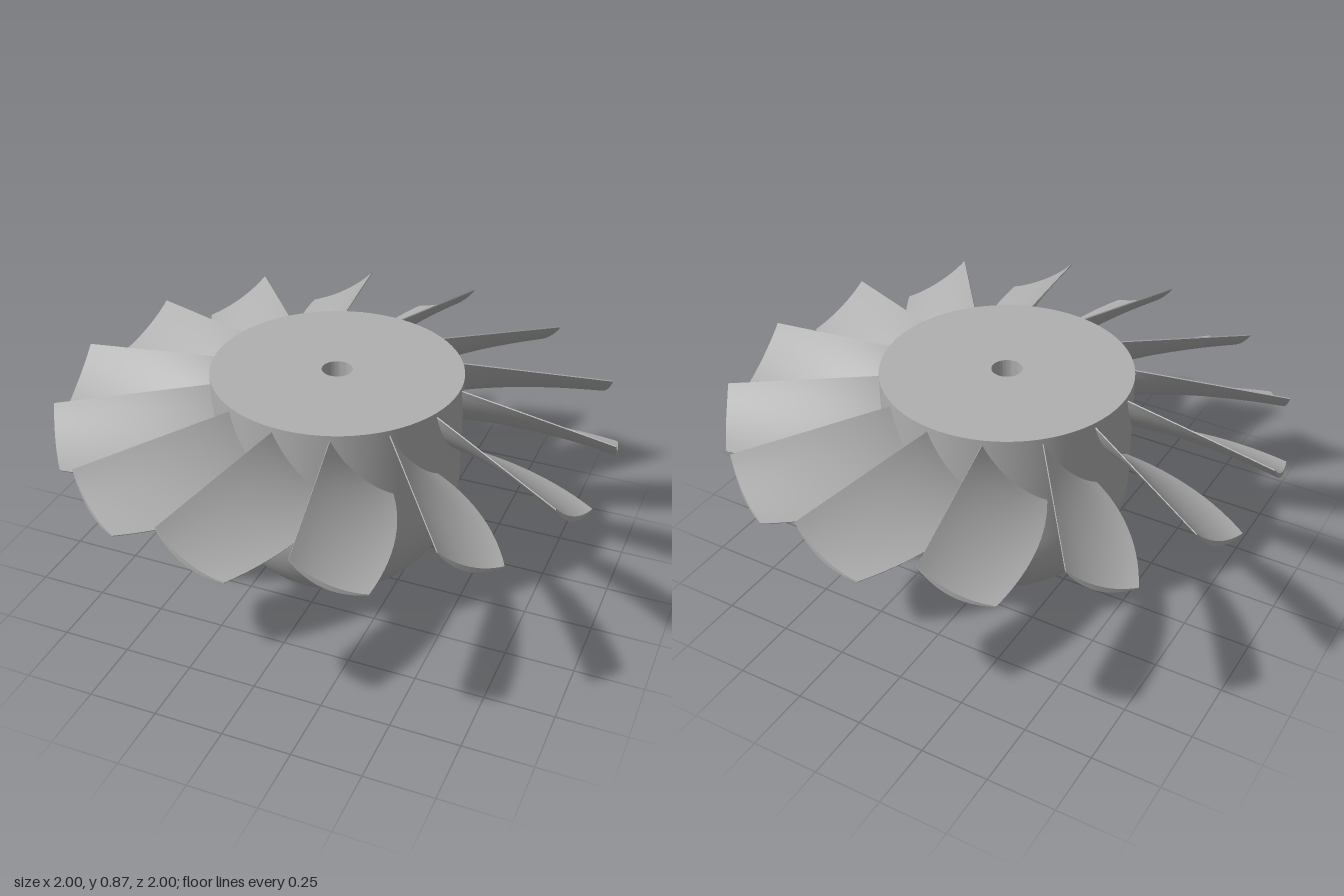
import * as THREE from 'three';
import { toCreasedNormals } from 'three/addons/utils/BufferGeometryUtils.js';

const BLADES = 14;
const HUB_R = 0.45;
const HUB_TOP = 0.865;

// Hub: round nose below, straight drum above, blind shaft hole in the flat top
function hubGeometry() {
  const points = [];
  for (let i = 0; i <= 20; i++) {
    const a = (i / 20) * Math.PI / 2;
    points.push(new THREE.Vector2(HUB_R * Math.sin(a), HUB_R * (1 - Math.cos(a))));
  }
  points.push(
    new THREE.Vector2(HUB_R, HUB_TOP),
    new THREE.Vector2(0.055, HUB_TOP),
    new THREE.Vector2(0.055, HUB_TOP - 0.15),
    new THREE.Vector2(0, HUB_TOP - 0.15)
  );
  return toCreasedNormals(new THREE.LatheGeometry(points, 72), 0.6);
}

// Point on the blade: r = radius, v = 0 at the high edge to 1 at the low edge,
// side = +1 for the upper skin, -1 for the lower skin
function bladePoint(r, v, side) {
  const u = (r - HUB_R) / (1 - HUB_R);
  const x0 = -0.05 - 0.15 * u, y0 = 0.845 - 0.075 * u;
  const x1 = 0.165 + 0.041 * u - 0.166 * u * u, y1 = 0.61 + 0.032 * u;
  const dx = x1 - x0, dy = y1 - y0, len = Math.hypot(dx, dy);
  const half = 0.002 + 0.007 * Math.sin(Math.PI * v);
  const offset = side * half - 0.03 * 4 * v * (1 - v); // thickness and camber
  const x = x0 + dx * v - (dy / len) * offset;
  const y = y0 + dy * v + (dx / len) * offset;
  return [x, y, Math.sqrt(r * r - x * x)];
}

// Blade: closed sections lofted from inside the hub to the tip
function bladeGeometry() {
  const rings = 14, n = 12, count = 2 * (n + 1);
  const position = [], index = [];
  for (let i = 0; i <= rings; i++) {
    const r = 0.42 + (1 - 0.42) * i / rings;
    for (let j = 0; j <= n; j++) position.push(...bladePoint(r, j / n, 1));
    for (let j = n; j >= 0; j--) position.push(...bladePoint(r, j / n, -1));
  }
  for (let i = 0; i < rings; i++) {
    for (let k = 0; k < count; k++) {
      const a = i * count + k, b = i * count + (k + 1) % count;
      index.push(a, a + count, b, b, a + count, b + count);
    }
  }
  // Tip cap
  const tip = rings * count;
  for (let j = 0; j < n; j++) {
    const up = tip + j, low = tip + count - 1 - j;
    index.push(up, low, low - 1, up, low - 1, up + 1);
  }
  const geometry = new THREE.BufferGeometry();
  geometry.setAttribute('position', new THREE.Float32BufferAttribute(position, 3));
  geometry.setIndex(index);
  return toCreasedNormals(geometry, 0.7);
}

export function createModel() {
  const group = new THREE.Group();
  group.name = 'fanRotor';
  const metal = new THREE.MeshStandardMaterial({ color: 0xb0b0b0 });
  metal.name = 'grey metal';

  const hub = new THREE.Mesh(hubGeometry(), metal);
  hub.name = 'hub';
  group.add(hub);

  // Ring of identical blades
  const geometry = bladeGeometry();
  for (let i = 0; i < BLADES; i++) {
    const blade = new THREE.Mesh(geometry, metal);
    blade.name = 'blade' + (i + 1);
    blade.rotation.y = (i / BLADES) * Math.PI * 2;
    group.add(blade);
  }
  return group;
}
